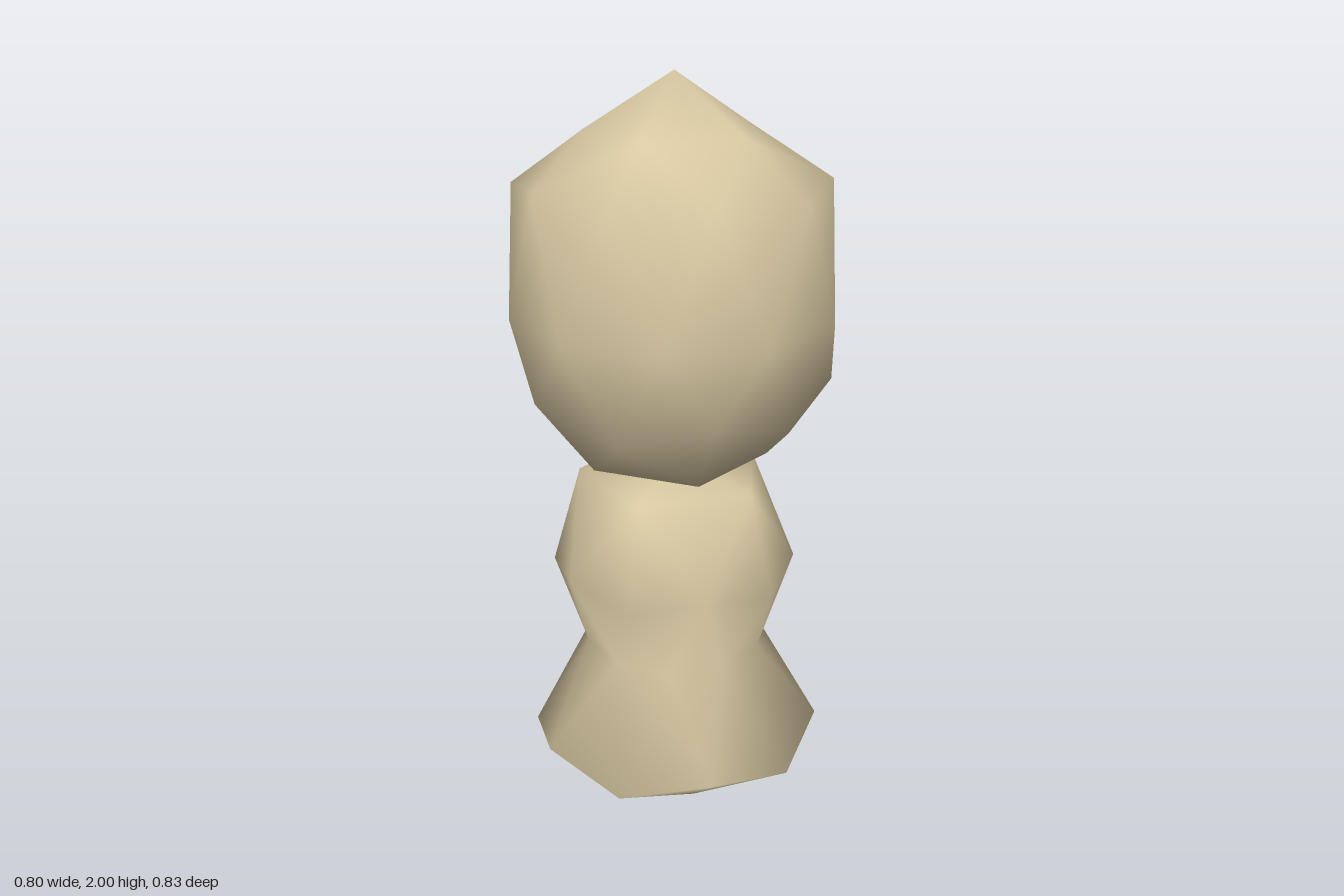
import * as THREE from 'three';

const STEP = Math.PI / 5;

// Closed lump with fivefold symmetry: poles, rings of five and rings of ten.
// Each five-ring is [radius, y]; the ten-rings alternate two such pairs.
function lump(name, p, material) {
  const pos = [], index = [];
  const add = (angle, [r, y]) => pos.push(r * Math.cos(angle), y, r * Math.sin(angle));
  add(0, [0, p.top]);                                                          // 0
  for (let k = 0; k < 5; k++) add(2 * k * STEP, p.crown);                      // 1..5
  for (let j = 0; j < 10; j++) add(j * STEP, j % 2 ? p.upperOdd : p.upperEven); // 6..15
  for (let j = 0; j < 10; j++) add((j + 0.5) * STEP, p.middle);                // 16..25
  for (let j = 0; j < 10; j++) add(j * STEP, j % 2 ? p.lowerOdd : p.lowerEven); // 26..35
  for (let k = 0; k < 5; k++) add((2 * k + 1) * STEP, p.foot);                 // 36..40
  add(0, [0, p.bottom]);                                                       // 41

  const A = k => 1 + k % 5, B = j => 6 + j % 10, E = j => 16 + (j + 10) % 10;
  const C = j => 26 + j % 10, D = k => 36 + k % 5;
  for (let k = 0; k < 5; k++) {
    const u = 2 * k, l = 2 * k + 1;
    // upper cap
    index.push(0, A(k + 1), A(k), A(k), B(u + 1), B(u));
    index.push(A(k + 1), B(u + 2), B(u + 1), A(k), A(k + 1), B(u + 1));
    // lower cap
    index.push(41, D(k), D(k + 1), D(k), C(l), C(l + 1));
    index.push(D(k + 1), C(l + 1), C(l + 2), D(k), C(l + 1), D(k + 1));
  }
  // zigzag bands around the middle ring
  for (let j = 0; j < 10; j++) {
    index.push(B(j), E(j), E(j - 1), B(j), B(j + 1), E(j));
    index.push(C(j), E(j - 1), E(j), C(j), E(j), C(j + 1));
  }

  const geometry = new THREE.BufferGeometry();
  geometry.setAttribute('position', new THREE.Float32BufferAttribute(pos, 3));
  geometry.setIndex(index);
  geometry.computeVertexNormals();
  const mesh = new THREE.Mesh(geometry, material);
  mesh.name = name;
  return mesh;
}

export function createModel() {
  const model = new THREE.Group();
  model.name = 'figure';
  const tan = new THREE.MeshStandardMaterial({ color: 0xd9c9a3 });

  // pointed, rounded head
  model.add(lump('head', {
    top: 2, crown: [0.22, 1.86],
    upperEven: [0.4, 1.73], upperOdd: [0.385, 1.75],
    middle: [0.417, 1.42],
    lowerEven: [0.36, 1.17], lowerOdd: [0.4, 1.24],
    foot: [0.24, 1.03], bottom: 1.0,
  }, tan));

  // waisted body with a flared base
  model.add(lump('body', {
    top: 1.015, crown: [0.25, 0.975],
    upperEven: [0.325, 0.71], upperOdd: [0.32, 0.74],
    middle: [0.24, 0.5],
    lowerEven: [0.39, 0.2], lowerOdd: [0.395, 0.25],
    foot: [0.21, 0.1], bottom: 0,
  }, tan));

  return model;
}
